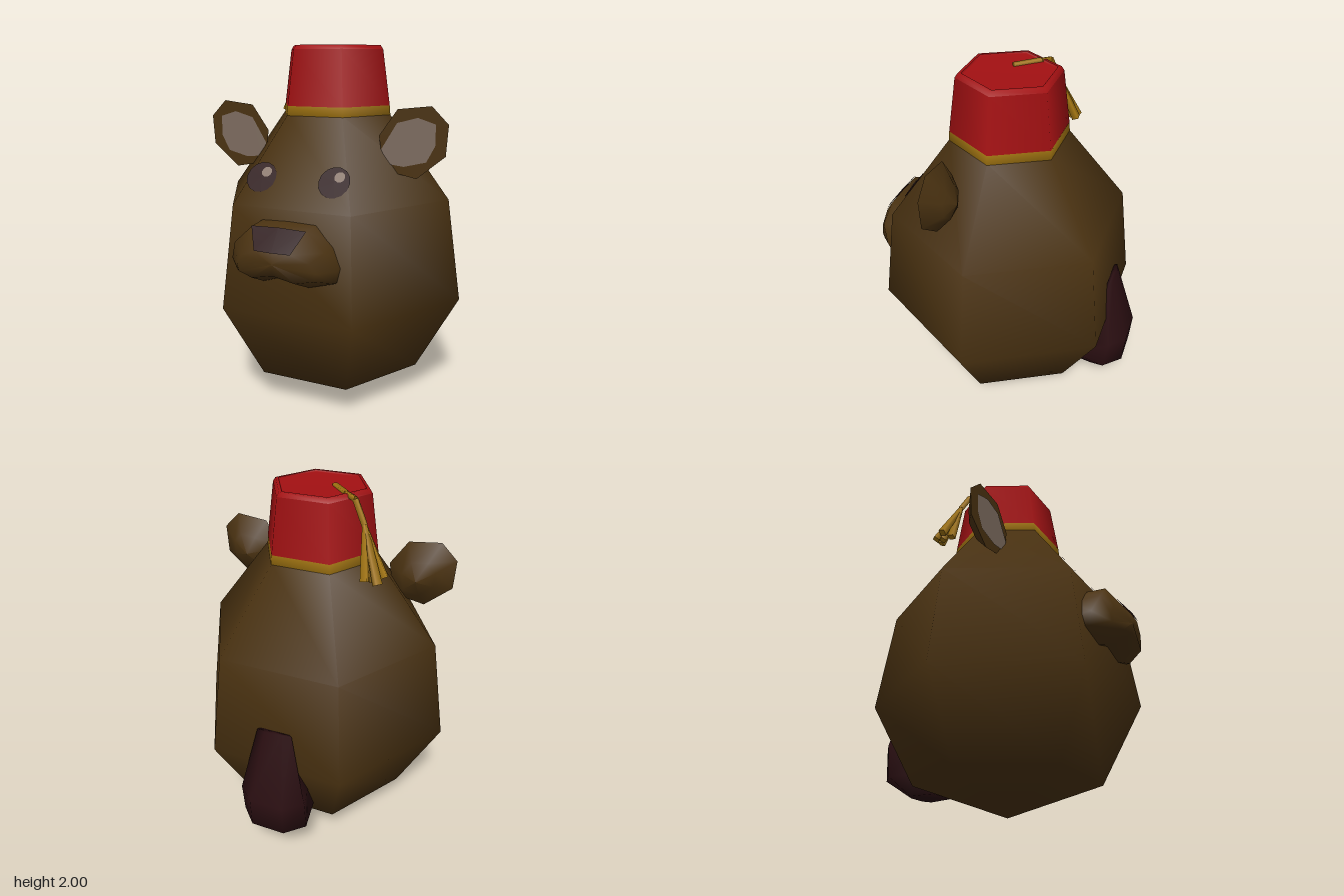
import * as THREE from 'three';

const mat = (name, color, side = THREE.FrontSide) => {
  const m = new THREE.MeshStandardMaterial({ color, side });
  m.name = name;
  return m;
};

export function createModel() {
  const fur = mat('brown fur', 0x4a3211);
  const dark = mat('dark brown', 0x2a0e11, THREE.DoubleSide);
  const red = mat('red felt', 0xa31012);
  const gold = mat('gold', 0xa67812);
  const innerEar = mat('inner ear', 0x7d6c60, THREE.DoubleSide);
  const glint = mat('eye glint', 0x8c7a6f, THREE.DoubleSide);

  const model = new THREE.Group();
  const add = (name, geometry, material, parent = model) => {
    const mesh = new THREE.Mesh(geometry, material);
    mesh.name = name;
    parent.add(mesh);
    return mesh;
  };

  // Six-sided turned shape with corners on +x and -x, profile from bottom to top
  const turned = (profile) =>
    new THREE.LatheGeometry(profile.map(([r, y]) => new THREE.Vector2(r, y)), 6, Math.PI / 2);

  // Skin over equal-length rings, clockwise when seen from the last ring
  const loft = (rings) => {
    const n = rings[0].length, index = [];
    for (let k = 0; k < rings.length - 1; k++) {
      for (let i = 0; i < n; i++) {
        const a = k * n + i, b = k * n + (i + 1) % n;
        index.push(a, a + n, b, b, a + n, b + n);
      }
    }
    const g = new THREE.BufferGeometry();
    g.setAttribute('position', new THREE.Float32BufferAttribute(rings.flat(2), 3));
    g.setIndex(index);
    g.computeVertexNormals();
    return g;
  };
  const tip = (n, p) => Array.from({ length: n }, () => p);

  // Straight tapered rod between two points
  const rod = (name, from, to, r0, r1, parent) => {
    const a = new THREE.Vector3(...from), b = new THREE.Vector3(...to);
    const dir = b.clone().sub(a);
    const mesh = add(name, new THREE.CylinderGeometry(r1, r0, dir.length(), 4), gold, parent);
    mesh.position.copy(a).add(b).multiplyScalar(0.5);
    mesh.quaternion.setFromUnitVectors(new THREE.Vector3(0, 1, 0), dir.normalize());
  };

  // Body
  add('body', turned([[0, 0.005], [0.51, 0.175], [0.75, 0.62], [0.667, 1.18], [0.32, 1.63]]), fur);

  // Hat: band, crown, bevelled rim and slightly sunken top
  const hat = new THREE.Group();
  hat.name = 'hat';
  model.add(hat);
  add('hatBand', turned([[0.3, 1.62], [0.325, 1.62], [0.32, 1.675]]), gold, hat);
  add('hatCrown', turned([[0.32, 1.675], [0.277, 1.97]]), red, hat);
  add('hatRim', turned([[0.277, 1.97], [0.262, 1.992], [0.245, 1.992]]), red, hat);
  add('hatTop', turned([[0.245, 1.992], [0.238, 1.983], [0, 1.983]]), red, hat);

  // Cord and tassel
  const cord = [[-0.07, 1.985, 0.01], [-0.175, 1.987, -0.105], [-0.235, 1.975, -0.135], [-0.295, 1.86, -0.16]];
  for (let i = 0; i < 3; i++) rod('cord', cord[i], cord[i + 1], 0.017, 0.017, hat);
  const ends = [[-0.42, 1.62, -0.2], [-0.405, 1.6, -0.255], [-0.34, 1.61, -0.265], [-0.355, 1.62, -0.18], [-0.38, 1.6, -0.225]];
  for (const end of ends) rod('tasselStrand', cord[3], end, 0.014, 0.026, hat);

  // Ears: flat front, domed back, pale inset
  const earOutline = [[0.43, 1.67], [0.61, 1.69], [0.70, 1.6], [0.69, 1.44], [0.54, 1.315], [0.36, 1.35], [0.33, 1.53]];
  const inset = [[0.43, 1.6], [0.54, 1.63], [0.635, 1.6], [0.635, 1.49], [0.59, 1.405], [0.47, 1.375], [0.38, 1.385], [0.345, 1.46]];
  for (const s of [1, -1]) {
    const ear = new THREE.Group();
    ear.name = s > 0 ? 'leftEar' : 'rightEar';
    model.add(ear);
    const flip = (pts) => {
      const p = pts.map(([x, y]) => [s * x, y]);
      return s > 0 ? p : p.reverse();
    };
    const outline = flip(earOutline), cx = s * 0.51, cy = 1.49;
    const ring = (k, z) => outline.map(([x, y]) => [cx + (x - cx) * k, cy + (y - cy) * k, z]);
    add('earBack', loft([tip(7, [cx, cy, 0.08]), ring(0.5, 0.115), ring(1, 0.19)]), fur, ear);
    const plate = (pts) => new THREE.ShapeGeometry(new THREE.Shape(pts.map(([x, y]) => new THREE.Vector2(x, y))));
    add('earFront', plate(outline), fur, ear).position.z = 0.19;
    add('earInset', plate(flip(inset)), innerEar, ear).position.z = 0.195;
  }

  // Eyes, lying on the sloped face
  for (const s of [1, -1]) {
    const eye = new THREE.Group();
    eye.name = s > 0 ? 'leftEye' : 'rightEye';
    eye.position.set(s * 0.207, 1.322, 0.49);
    eye.rotation.x = -0.59;
    model.add(eye);
    add('pupil', new THREE.CircleGeometry(0.086, 14), dark, eye);
    add('glint', new THREE.CircleGeometry(0.029, 10), glint, eye).position.set(0.026, 0.029, 0.005);
  }

  // Muzzle: right half of each ring from top to bottom, mirrored
  const mirror = (half) => [...half, ...half.slice(1, -1).reverse().map(([x, y, z]) => [-x, y, z])];
  const outer = mirror([[0, 1.115, 0.69], [0.152, 1.11, 0.69], [0.25, 1.02, 0.7], [0.295, 0.92, 0.66],
    [0.28, 0.85, 0.64], [0.13, 0.805, 0.63], [0, 0.85, 0.65]]);
  const front = mirror([[0, 1.005, 0.77], [0.1, 1.005, 0.763], [0.19, 0.97, 0.745], [0.22, 0.92, 0.735],
    [0.21, 0.88, 0.735], [0.12, 0.865, 0.76], [0, 0.89, 0.765]]);
  const back = outer.map(([x, y]) => [x, y > 1.1 ? y + 0.015 : y, 0.52]);
  add('muzzle', loft([back, outer, front, tip(12, [0, 0.95, 0.772])]), fur);

  // Nose: plate over the upper front of the muzzle
  const nosePoints = (ring) => [ring[11], ring[0], ring[1]].map(([x, y, z]) => [x, y + 0.004, z + 0.005]);
  const [t, b] = [nosePoints(outer), nosePoints(front)];
  const nose = new THREE.BufferGeometry();
  nose.setAttribute('position', new THREE.Float32BufferAttribute([...t, ...b].flat(), 3));
  nose.setIndex([0, 3, 1, 1, 3, 4, 1, 4, 2, 2, 4, 5]);
  nose.computeVertexNormals();
  add('nose', nose, dark);

  // Tail: rings from bottom to top as [y, half width, side z, ridge z, inner z]
  const tailRings = [[0.165, 0.1, -0.58, -0.61, -0.43], [0.27, 0.19, -0.67, -0.765, -0.47],
    [0.45, 0.19, -0.69, -0.775, -0.55], [0.84, 0.1, -0.635, -0.648, -0.62]]
    .map(([y, w, zs, zr, zi]) => [[-w, y, zs], [-w / 2, y, zr], [w / 2, y, zr], [w, y, zs], [w * 0.8, y, zi], [-w * 0.8, y, zi]]);
  add('tail', loft([tip(6, [0, 0.17, -0.53]), ...tailRings, tip(6, [0, 0.84, -0.635])]), dark);

  return model;
}
